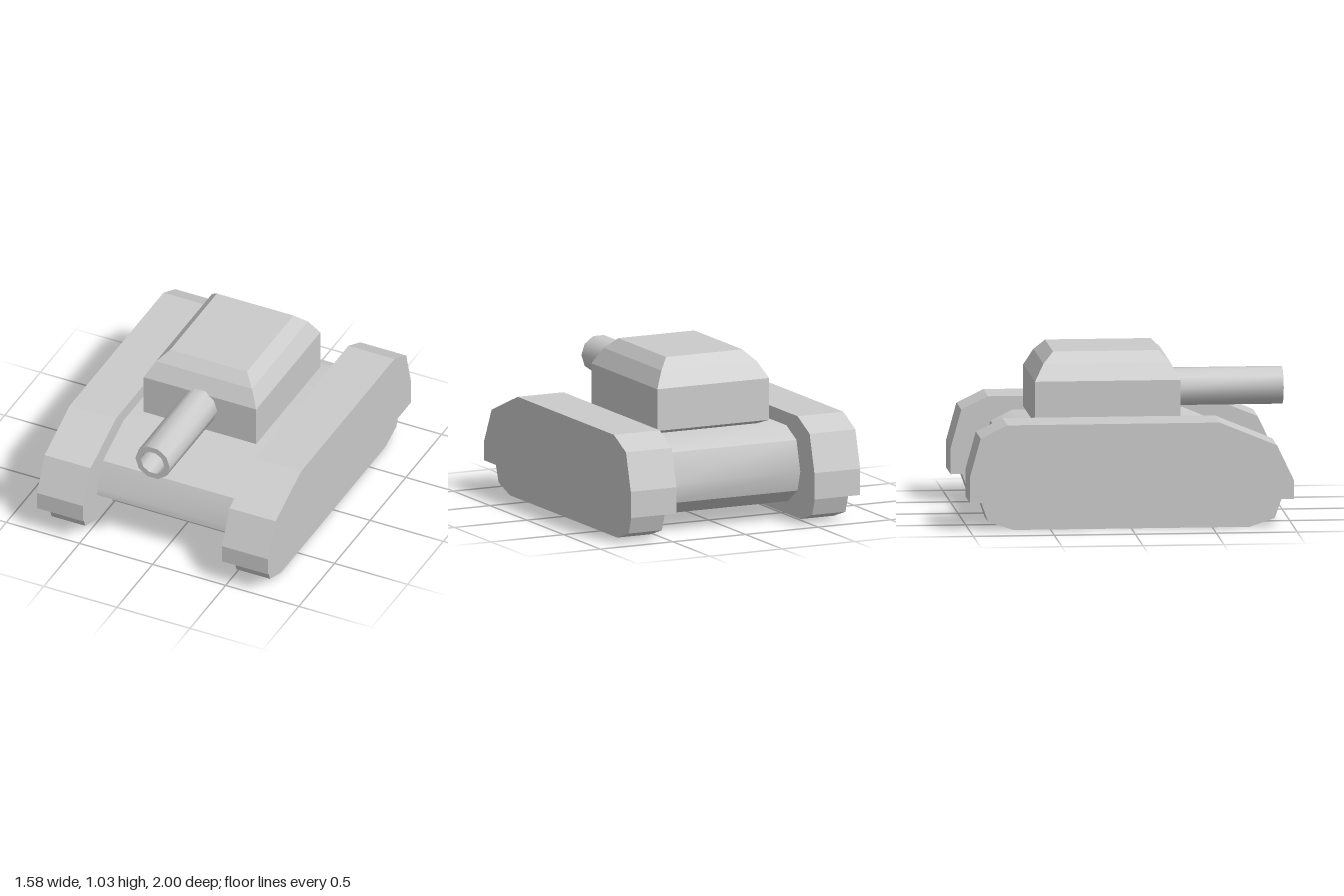
import * as THREE from 'three';
import { toCreasedNormals } from 'three/addons/utils/BufferGeometryUtils.js';
import { ConvexGeometry } from 'three/addons/geometries/ConvexGeometry.js';

const flat = new THREE.MeshStandardMaterial({ color: 0xcccccc, flatShading: true });
const smooth = new THREE.MeshStandardMaterial({ color: 0xcccccc });

function addMesh(group, name, geometry, material) {
  const mesh = new THREE.Mesh(geometry, material);
  mesh.name = name;
  group.add(mesh);
  return mesh;
}

// Side profile of [z, y] points, extruded across x from x0 to x1
function sideExtrude(profile, x0, x1) {
  const shape = new THREE.Shape(profile.map(([z, y]) => new THREE.Vector2(z, y)));
  const geometry = new THREE.ExtrudeGeometry(shape, { depth: x1 - x0, bevelEnabled: false });
  return geometry.rotateY(-Math.PI / 2).translate(x1, 0, 0);
}

export function createModel() {
  const tank = new THREE.Group();
  tank.name = 'tank';

  // Hull between the tracks
  const hullProfile = [
    [0.62, 0.1], [0.806, 0.25], [0.8, 0.29], [0.72, 0.453], [0.435, 0.572],
    [-0.62, 0.572], [-0.755, 0.505], [-0.808, 0.316], [-0.77, 0.19], [-0.64, 0.1],
  ];
  addMesh(tank, 'hull', toCreasedNormals(sideExtrude(hullProfile, -0.475, 0.475), 0.6), smooth);

  // Track covers and tracks, one pair per side
  const coverProfile = [
    [1, 0.175], [1, 0.29], [0.895, 0.51], [0.54, 0.656],
    [-0.77, 0.656], [-0.935, 0.575], [-1, 0.34], [-1, 0.175],
  ];
  const trackProfile = [
    [0.93, 0.18], [0.885, 0.053], [0.73, 0], [-0.73, 0], [-0.885, 0.053], [-0.93, 0.18],
  ];
  for (const [side, s] of [['left', 1], ['right', -1]]) {
    const span = (a, b) => (s > 0 ? [a, b] : [-b, -a]);
    addMesh(tank, side + 'TrackCover', sideExtrude(coverProfile, ...span(0.475, 0.79)), flat);
    addMesh(tank, side + 'Track', sideExtrude(trackProfile, ...span(0.517, 0.747)), flat);
  }

  // Turret: stacked rectangles of [y, half width, half length]
  const levels = [
    [0.578, 0.33, 0.395], [0.604, 0.385, 0.449], [0.866, 0.385, 0.449],
    [0.968, 0.328, 0.392], [1.035, 0.262, 0.326],
  ];
  const corners = [];
  for (const [y, w, l] of levels) {
    for (const sx of [-1, 1]) {
      for (const sz of [-1, 1]) corners.push(new THREE.Vector3(sx * w, y, sz * l));
    }
  }
  addMesh(tank, 'turret', new ConvexGeometry(corners), flat).position.z = -0.112;

  // Hollow ten-sided gun barrel
  const barrelProfile = [
    [0.118, 0.28], [0.118, 1], [0.08, 1], [0.08, 0.36], [0, 0.36],
  ].map(([r, z]) => new THREE.Vector2(r, z));
  const barrel = new THREE.LatheGeometry(barrelProfile, 10, Math.PI / 2).rotateX(Math.PI / 2);
  addMesh(tank, 'barrel', toCreasedNormals(barrel, 0.75), smooth).position.y = 0.772;

  return tank;
}
